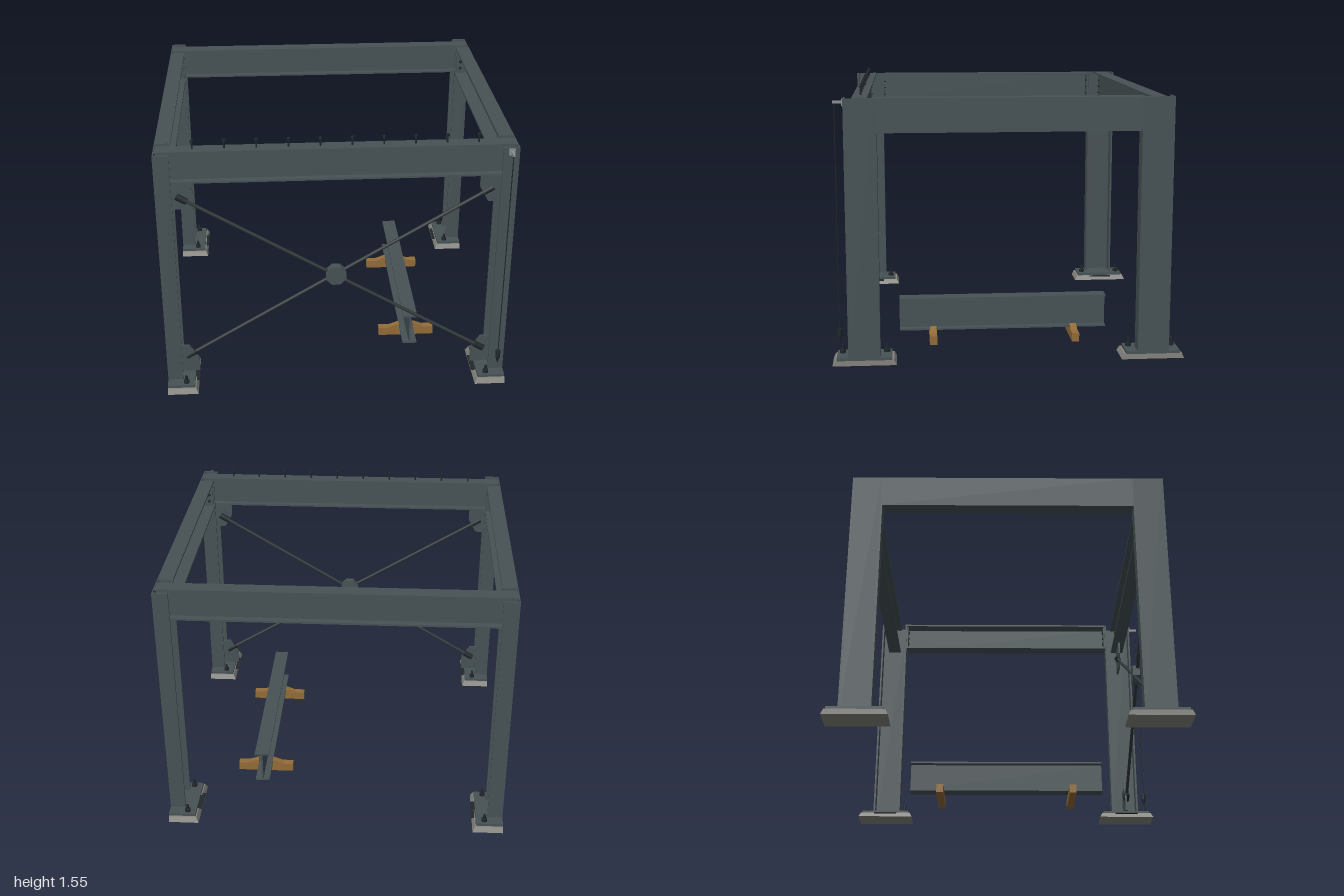
import * as THREE from 'three';

export function createModel() {
  const model = new THREE.Group();
  const mat = (name, color) => {
    const m = new THREE.MeshStandardMaterial({ color });
    m.name = name;
    return m;
  };
  const steel = mat('steel', 0x475255);
  const rodSteel = mat('rod steel', 0x33393b);
  const dark = mat('dark bolts', 0x22282b);
  const grout = mat('grout', 0x85847e);
  const timber = mat('timber', 0x946c38);
  const pale = mat('bracket metal', 0x8c9193);

  const add = (name, geo, material, parent = model) => {
    const m = new THREE.Mesh(geo, material);
    m.name = name;
    parent.add(m);
    return m;
  };
  // box given by its limits
  const box = (name, material, x0, x1, y0, y1, z0, z1, parent) => {
    const g = new THREE.BoxGeometry(Math.abs(x1 - x0), y1 - y0, Math.abs(z1 - z0));
    g.translate((x0 + x1) / 2, (y0 + y1) / 2, (z0 + z1) / 2);
    return add(name, g, material, parent);
  };
  // cylinder between two points
  const bar = (name, material, a, b, r, sides = 10, r2 = r, parent = model) => {
    const A = new THREE.Vector3(...a), B = new THREE.Vector3(...b);
    const dir = B.clone().sub(A);
    const m = add(name, new THREE.CylinderGeometry(r2, r, dir.length(), sides), material, parent);
    m.position.copy(A).add(B).multiplyScalar(0.5);
    m.quaternion.setFromUnitVectors(new THREE.Vector3(0, 1, 0), dir.normalize());
    return m;
  };
  // flat plate in the xy plane, centred on z
  const plate = (name, material, pts, z, t, parent) => {
    const g = new THREE.ExtrudeGeometry(
      new THREE.Shape(pts.map(p => new THREE.Vector2(...p))), { depth: t, bevelEnabled: false });
    g.translate(0, 0, z - t / 2);
    return add(name, g, material, parent);
  };

  const Z = 0.82; // column line

  // corner posts: half sections, flat on the outer side, on grouted bases
  for (const sx of [-1, 1]) for (const sz of [-1, 1]) {
    const post = new THREE.Group();
    post.name = 'column';
    model.add(post);
    const zc = sz * Z;
    box('columnWeb', steel, sx * 0.993, sx, 0.045, 1.5, zc - 0.08, zc + 0.08, post);
    for (const s of [-1, 1])
      box('columnFlange', steel, sx * 0.91, sx, 0.045, 1.5, zc + s * 0.078, zc + s * 0.09, post);
    // grout pad with sloping edges
    const pad = new THREE.BoxGeometry(0.18, 0.03, 0.36);
    const p = pad.attributes.position;
    for (let i = 0; i < p.count; i++) if (p.getY(i) > 0) {
      p.setZ(i, p.getZ(i) * 0.92);
      if (p.getX(i) * sx < 0) p.setX(i, p.getX(i) + sx * 0.014);
    }
    pad.translate(sx * 0.91, 0.015, zc);
    pad.computeVertexNormals();
    add('groutPad', pad, grout, post);
    box('basePlate', steel, sx * 0.84, sx, 0.03, 0.046, zc - 0.155, zc + 0.155, post);
    box('shim', dark, sx * 0.815, sx * 0.87, 0.024, 0.03, zc - 0.075, zc + 0.075, post);
    for (const s of [-1, 1]) {
      const z = zc + s * 0.125;
      bar('anchorBolt', dark, [sx * 0.89, 0.04, z], [sx * 0.89, 0.092, z], 0.008, 8, 0.008, post);
      bar('anchorNut', dark, [sx * 0.89, 0.046, z], [sx * 0.89, 0.064, z], 0.018, 6, 0.018, post);
    }
    // connection bolts
    for (const y of [1.36, 1.405, 1.45]) {
      bar('flangeBolt', dark, [sx * 0.945, y, sz * 0.735], [sx * 0.945, y, sz * 0.712], 0.01, 6, 0.01, post);
      bar('webBolt', dark, [sx * 0.935, y, zc - 0.016], [sx * 0.935, y, zc + 0.016], 0.009, 6, 0.009, post);
    }
  }

  // side beams: half sections opening inwards
  for (const sx of [-1, 1]) {
    box('sideBeamWeb', steel, sx * 0.993, sx, 1.31, 1.5, -0.73, 0.73);
    for (const y of [1.31, 1.488])
      box('sideBeamFlange', steel, sx * 0.912, sx, y, y + 0.012, -0.728, 0.728);
    for (const sz of [-1, 1])
      box('endPlate', steel, sx * 0.92, sx, 1.325, 1.485, sz * 0.72, sz * 0.73);
  }

  // full beam section running along x or z
  const iBeam = (name, len, h, w, t) => {
    const g = new THREE.Group();
    g.name = name;
    box('web', steel, -len / 2, len / 2, t, h - t, -0.005, 0.005, g);
    for (const y of [0, h - t]) box('flange', steel, -len / 2, len / 2, y, y + t, -w / 2, w / 2, g);
    model.add(g);
    return g;
  };
  iBeam('frontBeam', 1.984, 0.191, 0.085, 0.011).position.set(0, 1.31, Z);
  iBeam('backBeam', 1.984, 0.191, 0.085, 0.011).position.set(0, 1.31, -Z);
  const spare = iBeam('spareBeam', 1.25, 0.198, 0.087, 0.011);
  spare.position.set(0.473, 0.053, 0);
  spare.rotation.y = Math.PI / 2;

  // headed studs on the front beam
  for (let i = 0; i < 10; i++) {
    const x = -0.788 + i * 0.175;
    bar('stud', dark, [x, 1.5, Z], [x, 1.545, Z], 0.005, 8);
    bar('studHead', dark, [x, 1.541, Z], [x, 1.552, Z], 0.011, 8);
  }

  // cross bracing with gussets and end forks
  for (const s of [-1, 1]) {
    const z = Z + s * 0.009;
    const a = new THREE.Vector3(-0.89, 0.68 + s * 0.538, z), b = new THREE.Vector3(0.89, 0.68 - s * 0.538, z);
    bar('braceRod', rodSteel, a.toArray(), b.toArray(), 0.01);
    for (const [p, q] of [[a, b], [b, a]])
      bar('braceFork', dark, p.toArray(), p.clone().lerp(q, 0.031).toArray(), 0.02);
    plate('upperGusset', steel, [[0.99, 1.31], [0.81, 1.31], [0.81, 1.225], [0.86, 1.135], [0.99, 1.135]]
      .map(([x, y]) => [s * x, y]), Z, 0.012);
    plate('lowerGusset', steel, [[0.99, 0.046], [0.815, 0.046], [0.815, 0.14], [0.87, 0.225], [0.99, 0.225]]
      .map(([x, y]) => [s * x, y]), Z, 0.012);
  }
  const disc = [];
  for (let i = 0; i < 8; i++) {
    const t = (i + 0.5) * Math.PI / 4;
    disc.push([0.063 * Math.cos(t), 0.682 + 0.063 * Math.sin(t)]);
  }
  plate('braceCentrePlate', steel, disc, Z, 0.044);

  // timber bearers with wedges under the spare beam
  for (const z of [-0.425, 0.425]) {
    box('timberBearer', timber, 0.3, 0.645, 0, 0.053, z - 0.022, z + 0.022);
    for (const s of [-1, 1])
      plate('timberWedge', timber, [[0.473 + s * 0.045, 0.053], [0.473 + s * 0.11, 0.053], [0.473 + s * 0.045, 0.077]], z, 0.04);
  }

  // plumb line hung from the front left column
  const px = 0.955, pz = 0.957;
  box('plumbBracket', pale, px - 0.006, px + 0.006, 1.47, 1.484, 0.9, 0.967);
  box('bracketClamp', pale, px - 0.017, px + 0.017, 1.458, 1.495, 0.908, 0.918);
  bar('plumbString', dark, [px, 0.19, pz], [px, 1.475, pz], 0.003, 6);
  bar('plumbBob', dark, [px, 0.165, pz], [px, 0.205, pz], 0.014, 10);
  bar('plumbTip', dark, [px, 0.12, pz], [px, 0.165, pz], 0.002, 10, 0.014);

  return model;
}
